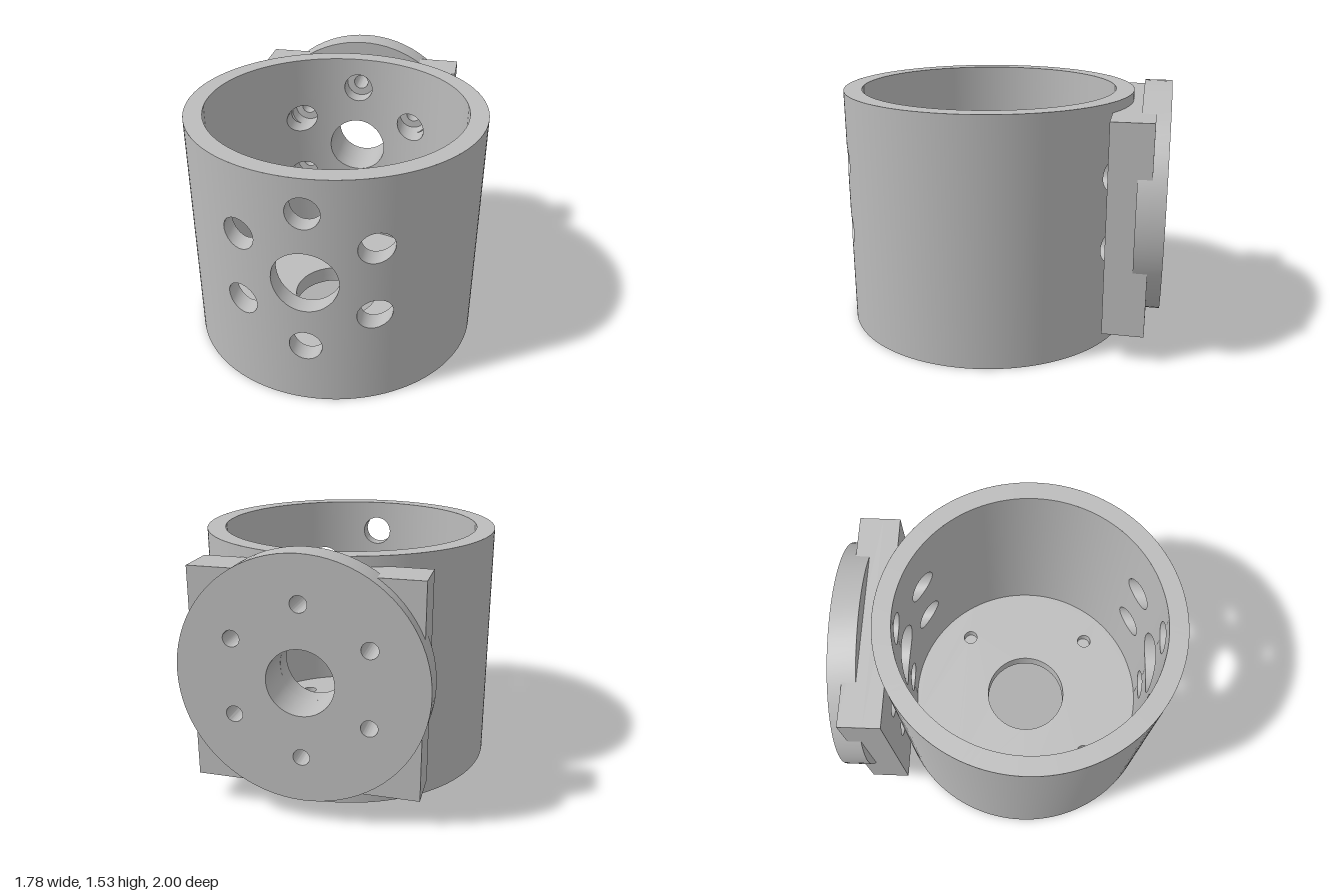
import * as THREE from 'three';
import { toCreasedNormals } from 'three/addons/utils/BufferGeometryUtils.js';

const R = 0.89, RI = 0.78, H = 1.47, CZ = 0.11; // cup radii, height, axis position
const CY = 0.83, BOLT = 0.435, CENTRE = 0.19, WIDE = 0.095, NARROW = 0.047;
const PANEL = 0.5; // half width of the drilled wall panels

// Centre hole plus a ring of six holes, in the x-y plane
function holePattern(r) {
  const holes = [{ x: 0, y: CY, r: CENTRE }];
  for (let i = 0; i < 6; i++) {
    const a = Math.PI / 2 + (i * Math.PI) / 3;
    holes.push({ x: BOLT * Math.cos(a), y: CY + BOLT * Math.sin(a), r });
  }
  return holes;
}

function circle(Type, x, y, r) {
  const c = new Type();
  c.absarc(x, y, r, 0, Math.PI * 2, false);
  return c;
}

function drilled(shape, holes, depth) {
  for (const h of holes) shape.holes.push(circle(THREE.Path, h.x, h.y, h.r));
  const g = new THREE.ExtrudeGeometry(shape, { depth, bevelEnabled: false, curveSegments: 40 });
  return toCreasedNormals(g, 0.6);
}

// Curved wall panel cut into thin columns, each split where holes cross it
function drilledWall(side) {
  const holes = holePattern(WIDE);
  const xs = [];
  for (let i = 0; i <= 20; i++) xs.push(-PANEL + (i * 2 * PANEL) / 20);
  for (const h of holes)
    for (let k = 0; k <= 16; k++) xs.push(h.x + h.r * Math.cos((k * Math.PI) / 16));
  xs.sort((a, b) => a - b);
  const cuts = xs.filter((x, i) => i === 0 || x - xs[i - 1] > 1e-6);

  const pos = [], nor = [];
  const point = (x, y, r) => new THREE.Vector3(x, y, CZ + side * Math.sqrt(r * r - x * x));
  const quad = (a, b, c, d, normalAt) => {
    const face = b.clone().sub(a).cross(c.clone().sub(a));
    const list = face.dot(normalAt(a)) > 0 ? [a, b, c, a, c, d] : [a, c, b, a, d, c];
    for (const p of list) {
      pos.push(p.x, p.y, p.z);
      nor.push(...normalAt(p).normalize().toArray());
    }
  };
  const radial = (s) => (p) => new THREE.Vector3(p.x * s, 0, (p.z - CZ) * s);

  for (let i = 0; i + 1 < cuts.length; i++) {
    const x0 = cuts[i], x1 = cuts[i + 1], mid = (x0 + x1) / 2;
    const hit = holes.filter((h) => Math.abs(mid - h.x) < h.r).sort((a, b) => a.y - b.y);
    let low = [0, 0];
    for (const h of [...hit, null]) {
      const rise = (x) => Math.sqrt(Math.max(0, h.r * h.r - (x - h.x) ** 2));
      const high = h ? [h.y - rise(x0), h.y - rise(x1)] : [H, H];
      for (const [r, s] of [[R, 1], [RI, -1]])
        quad(point(x0, low[0], r), point(x1, low[1], r), point(x1, high[1], r), point(x0, high[0], r), radial(s));
      if (!h) break;
      low = [h.y + rise(x0), h.y + rise(x1)];
      // Bore of the hole
      for (const e of [high, low])
        quad(point(x0, e[0], R), point(x1, e[1], R), point(x1, e[1], RI), point(x0, e[0], RI),
          (p) => new THREE.Vector3(h.x - p.x, h.y - p.y, 0));
    }
  }
  const g = new THREE.BufferGeometry();
  g.setAttribute('position', new THREE.Float32BufferAttribute(pos, 3));
  g.setAttribute('normal', new THREE.Float32BufferAttribute(nor, 3));
  return g;
}

export function createModel() {
  const group = new THREE.Group();
  const metal = new THREE.MeshStandardMaterial({ color: 0xbcbcbc, side: THREE.DoubleSide });
  metal.name = 'plain grey';
  const add = (name, geometry) => {
    const m = new THREE.Mesh(geometry, metal);
    m.name = name;
    group.add(m);
    return m;
  };

  // Cup wall: drilled front and back, plain sides
  add('frontWall', drilledWall(1));
  add('backWall', drilledWall(-1));
  for (const [name, turn] of [['left', 0], ['right', Math.PI]])
    for (const [skin, r] of [['Outer', R], ['Inner', RI]]) {
      const a = Math.asin(PANEL / r);
      const g = new THREE.CylinderGeometry(r, r, H, 48, 1, true, turn + a, Math.PI - 2 * a);
      add(`${name}${skin}Wall`, g.translate(0, H / 2, CZ));
    }
  add('topRim', new THREE.RingGeometry(RI, R, 128).rotateX(-Math.PI / 2).translate(0, H, CZ));
  add('bottomRim', new THREE.RingGeometry(RI, R, 128).rotateX(Math.PI / 2).translate(0, 0, CZ));

  // Floor with a central opening and four blind holes
  const opening = { x: 0, y: 0, r: 0.27 };
  const blind = [];
  for (const x of [-0.42, 0.42]) for (const y of [-0.42, 0.42]) blind.push({ x, y, r: NARROW });
  const disc = () => circle(THREE.Shape, 0, 0, RI + 0.004);
  add('floorBase', drilled(disc(), [opening], 0.04).rotateX(-Math.PI / 2).translate(0, 0, CZ));
  add('floorTop', drilled(disc(), [opening, ...blind], 0.07).rotateX(-Math.PI / 2).translate(0, 0.04, CZ));

  // Square mounting block, counterbored from the cup side
  const square = () => new THREE.Shape([[-0.645, 0.17], [0.645, 0.17], [0.645, 1.41], [-0.645, 1.41]]
    .map(([x, y]) => new THREE.Vector2(x, y)));
  add('mountBlockFront', drilled(square(), holePattern(WIDE), 0.1).translate(0, 0, -0.78));
  add('mountBlockBack', drilled(square(), holePattern(NARROW), 0.14).translate(0, 0, -0.92));

  // Round flange
  add('flange', drilled(circle(THREE.Shape, 0, CY, 0.7), holePattern(NARROW), 0.16).translate(0, 0, -1));
  return group;
}
